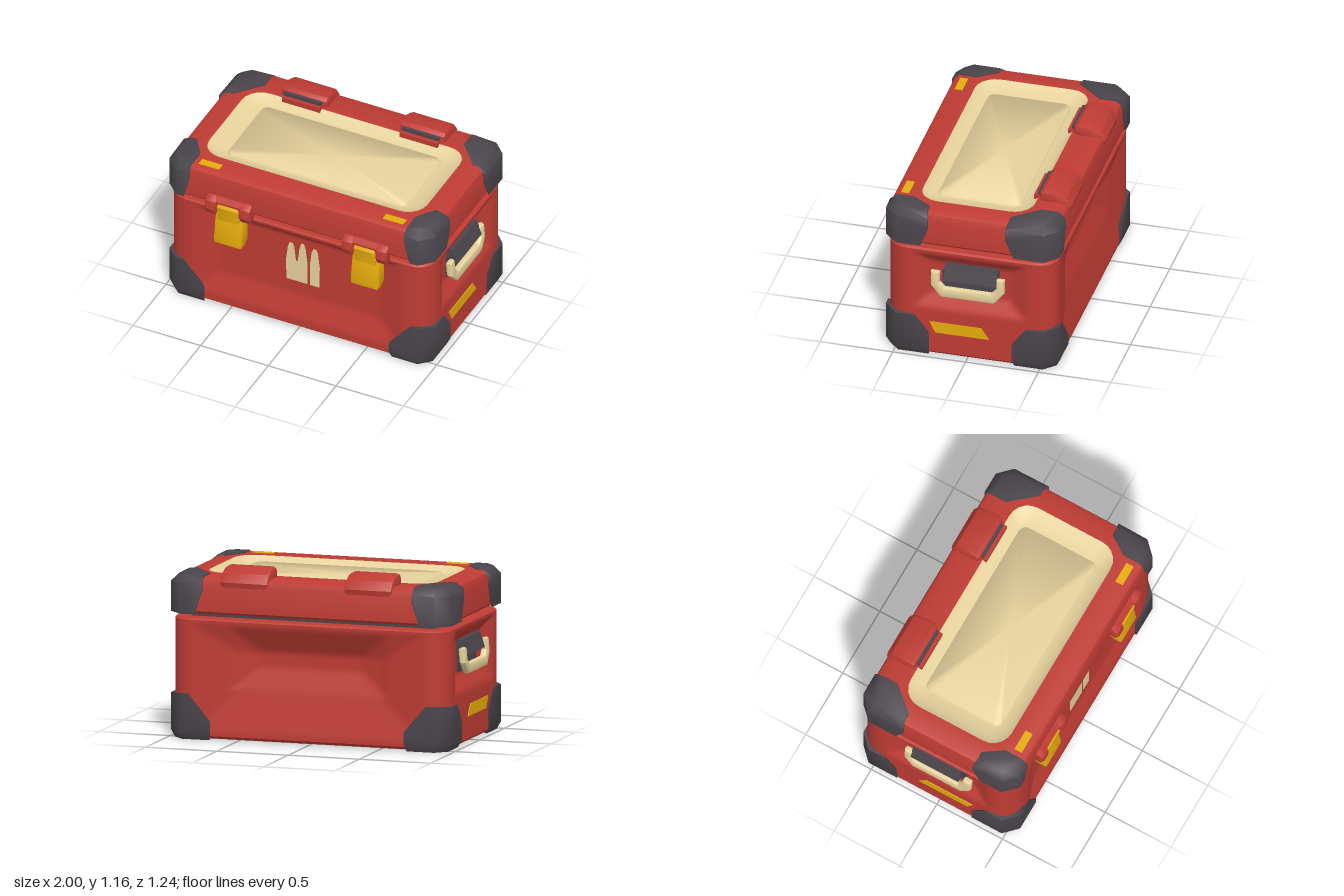
import * as THREE from 'three';
import { toCreasedNormals } from 'three/addons/utils/BufferGeometryUtils.js';
import { ConvexGeometry } from 'three/addons/geometries/ConvexGeometry.js';

const mat = (name, color) => {
  const m = new THREE.MeshStandardMaterial({ color });
  m.name = name;
  return m;
};

// Rounded-rectangle loop at height y, with subdivided straight sides
function ring(y, hx, hz, r, cz, nx = 1, nz = 1) {
  const pts = [], arc = 5;
  const signs = [[1, 1], [-1, 1], [-1, -1], [1, -1]];
  for (let c = 0; c < 4; c++) {
    const [sx, sz] = signs[c];
    for (let i = 0; i <= arc; i++) {
      const a = (c + i / arc) * Math.PI / 2;
      pts.push(new THREE.Vector3(sx * (hx - r) + r * Math.cos(a), y, cz + sz * (hz - r) + r * Math.sin(a)));
    }
    const n = c % 2 ? nz : nx;
    const next = signs[(c + 1) % 4], a = (c + 1) * Math.PI / 2, from = pts[pts.length - 1].clone();
    const to = new THREE.Vector3(next[0] * (hx - r) + r * Math.cos(a), y, cz + next[1] * (hz - r) + r * Math.sin(a));
    for (let i = 1; i < n; i++) pts.push(from.clone().lerp(to, i / n));
  }
  return pts;
}

// Skin between successive loops
function loft(rings, crease = 0.6) {
  const n = rings[0].length, pos = [], idx = [];
  rings.forEach(r => r.forEach(p => pos.push(p.x, p.y, p.z)));
  for (let k = 0; k < rings.length - 1; k++) {
    for (let i = 0; i < n; i++) {
      const a = k * n + i, b = k * n + (i + 1) % n;
      idx.push(a, a + n, b, a + n, b + n, b);
    }
  }
  const g = new THREE.BufferGeometry();
  g.setAttribute('position', new THREE.Float32BufferAttribute(pos, 3));
  g.setIndex(idx);
  return toCreasedNormals(g, crease);
}

// Side profile of [z, y] points extruded along x, centred on x = cx
function extrudeX(profile, width, cx, bevel = 0) {
  const shape = new THREE.Shape(profile.map(([z, y]) => new THREE.Vector2(-z, y)));
  const g = new THREE.ExtrudeGeometry(shape, {
    depth: width - 2 * bevel, bevelEnabled: bevel > 0, bevelSize: bevel,
    bevelThickness: bevel, bevelOffset: -bevel, bevelSegments: 2,
  });
  g.translate(0, 0, -width / 2 + bevel);
  g.rotateY(Math.PI / 2);
  g.translate(cx, 0, 0);
  return toCreasedNormals(g, 0.6);
}

// Copy mirrored in x, with corner order restored
function mirrorX(geo) {
  const g = geo.index ? geo.toNonIndexed() : geo.clone();
  for (const name of ['position', 'normal']) {
    const a = g.attributes[name];
    for (let i = 0; i < a.count; i += 3) {
      const v = [0, 2, 1].map(k => new THREE.Vector3().fromBufferAttribute(a, i + k));
      v.forEach((p, k) => a.setXYZ(i + k, -p.x, p.y, p.z));
    }
  }
  return g;
}

const box = (x0, x1, y0, y1, z0, z1) =>
  new THREE.BoxGeometry(x1 - x0, y1 - y0, z1 - z0).translate((x0 + x1) / 2, (y0 + y1) / 2, (z0 + z1) / 2);

// 0 outside the outer rectangle, rising to 1 inside the inner one
function dent(u, y, [ou, iu, y0, y1, y2, y3]) {
  const t = Math.min((ou - Math.abs(u)) / (ou - iu), (y - y0) / (y1 - y0), (y3 - y) / (y3 - y2));
  return Math.min(1, Math.max(0, t));
}

export function createModel() {
  const root = new THREE.Group();
  root.name = 'storageChest';
  const red = mat('red shell', 0xbf3c34);
  const dark = mat('dark rubber', 0x4b464c);
  const cream = mat('cream', 0xeed9a2);
  const yellow = mat('yellow', 0xe6ac0c);
  const add = (name, geo, m, parent = root) => {
    const mesh = new THREE.Mesh(geo, m);
    mesh.name = name;
    parent.add(mesh);
    return mesh;
  };
  const both = (name, geo, m) => {
    add(name + 'Left', geo, m);
    add(name + 'Right', mirrorX(geo), m);
  };

  // Body with sunken front, back and side walls; the back sinks in two steps
  const bz = -0.025, bodyRing = (y, hx, hz, r) => ring(y, hx, hz, r, bz, 50, 30);
  const bodyRings = [bodyRing(0.012, 0, 0, 0), bodyRing(0.012, 0.95, 0.56, 0.16)];
  for (let y = 0.03; y < 0.8; y += 0.02) {
    const loop = bodyRing(y, 0.968, 0.58, 0.14);
    for (const p of loop) {
      if (p.z > 0.55) p.z -= 0.045 * dent(p.x, y, [0.76, 0.6, 0.09, 0.26, 0.73, 0.79]);
      else if (p.z < -0.6) {
        p.z += 0.05 * dent(p.x, y, [0.82, 0.5, 0.06, 0.34, 0.6, 0.79])
          + 0.05 * dent(p.x, y, [0.56, 0.36, 0.34, 0.5, 0.6, 0.77]);
      } else if (Math.abs(p.x) > 0.96) {
        p.x -= Math.sign(p.x) * 0.06 * dent(p.z + 0.02, y, [0.39, 0.27, 0.36, 0.47, 0.7, 0.78]);
      }
    }
    bodyRings.push(loop);
  }
  bodyRings.push(bodyRing(0.805, 0.968, 0.58, 0.14), bodyRing(0.815, 0.955, 0.57, 0.13), bodyRing(0.815, 0, 0, 0));
  add('body', loft(bodyRings, 0.65), red);

  // Dark gasket between body and lid
  add('gasket', box(-0.85, 0.85, 0.8, 0.87, -0.49, 0.44), dark);

  // Lid shell with a cream dished frame and a softly domed centre panel
  const lz = -0.0225;
  add('lid', loft([
    ring(0.85, 0, 0, 0, lz), ring(0.85, 0.955, 0.575, 0.14, lz), ring(0.865, 0.968, 0.5875, 0.14, lz),
    ring(1.04, 0.968, 0.5875, 0.14, lz), ring(1.075, 0.955, 0.575, 0.14, lz), ring(1.095, 0.92, 0.545, 0.13, lz),
    ring(1.095, 0.805, 0.385, 0.14, -0.003),
  ]), red);
  add('lidFrame', loft([
    ring(1.095, 0.805, 0.385, 0.14, -0.003), ring(1.06, 0.745, 0.34, 0.1, -0.003), ring(1.05, 0.66, 0.28, 0.05, 0),
  ], 0.7), cream);
  add('lidPanel', loft([
    ring(1.045, 0.668, 0.29, 0.05, 0), ring(1.07, 0.655, 0.28, 0.045, 0), ring(1.07, 0, 0, 0, 0),
  ], 1.6), cream);

  // Rubber corner guards: [inset x, y, inset z] hull points
  const lowGuard = [
    [0.15, 0.31, 0], [0.09, 0.31, 0], [0, 0.3, 0.09], [0, 0.3, 0.225], [0.305, 0.13, 0], [0.305, 0.05, 0],
    [0.09, 0.05, 0], [0, 0.05, 0.09], [0, 0.18, 0.32], [0, 0.05, 0.32],
    [0.29, 0, 0.025], [0.1, 0, 0.025], [0.025, 0, 0.1], [0.025, 0, 0.31],
  ];
  const highGuard = [
    [0.15, 0.845, 0], [0.09, 0.845, 0], [0, 0.845, 0.09], [0, 0.845, 0.26], [0.19, 1.0, 0], [0.19, 1.06, 0], [0.09, 1.05, 0],
    [0, 1.05, 0.09], [0, 0.98, 0.31], [0, 1.06, 0.31], [0.19, 1.102, 0.05], [0.1, 1.102, 0.06],
    [0.05, 1.102, 0.11], [0.05, 1.102, 0.29], [0.1, 1.102, 0.3], [0.19, 1.102, 0.17],
  ];
  // The rear lid guards reach a little further along the edges
  for (const [level, pts, kx, kz] of [['lower', lowGuard, 1, 0.96], ['upper', highGuard, 1.3, 1.14]]) {
    for (const sx of [1, -1]) for (const end of ['Front', 'Back']) {
      const hull = pts.map(([x, y, z]) => end === 'Front'
        ? new THREE.Vector3(sx * (0.983 - x), y, 0.574 - z)
        : new THREE.Vector3(sx * (0.983 - x * (x > 0.12 ? kx : 1)), y, -0.62 + z * (z > 0.2 ? kz : 1)));
      add(level + end + 'Guard' + (sx > 0 ? 'Left' : 'Right'), toCreasedNormals(new ConvexGeometry(hull), 1), dark);
    }
  }

  // Side handles with dark mounts, and side stripes
  const handle = extrudeX([
    [0.245, 0.655], [0.245, 0.555], [0.175, 0.475], [-0.195, 0.475], [-0.26, 0.555], [-0.26, 0.655],
    [-0.205, 0.655], [-0.205, 0.58], [-0.17, 0.545], [0.15, 0.545], [0.185, 0.58], [0.185, 0.655],
  ], 0.05, 0.96, 0.018);
  const hp = handle.attributes.position;
  for (let i = 0; i < hp.count; i++) hp.setX(i, hp.getX(i) + (0.655 - hp.getY(i)) * 0.085);
  both('handle', handle, cream);
  both('handlePocket', box(0.9, 0.914, 0.48, 0.65, -0.2, 0.18), dark);
  const mount = box(0.9, 0.985, 0.6, 0.705, -0.21, 0.155);
  const mp = mount.attributes.position;
  for (let i = 0; i < mp.count; i++) if (mp.getX(i) > 0.95 && mp.getY(i) > 0.65) mp.setX(i, 0.95);
  mount.computeVertexNormals();
  both('handleMount', mount, dark);
  both('sideStripe', extrudeX([[0.255, 0.26], [0.215, 0.18], [-0.155, 0.18], [-0.1, 0.26]], 0.008, 0.969), yellow);

  // Front latches between red cheeks
  for (const cx of [-0.495, 0.515]) {
    const latch = new THREE.Group();
    latch.name = cx > 0 ? 'latchLeft' : 'latchRight';
    root.add(latch);
    const cheek = [[0.54, 0.93], [0.575, 0.93], [0.612, 0.9], [0.622, 0.84], [0.6, 0.795], [0.54, 0.795]];
    for (const s of [-1, 1]) add('cheek', extrudeX(cheek, 0.085, cx + s * 0.125, 0.018), red, latch);
    add('latchHood', extrudeX([[0.54, 0.93], [0.575, 0.93], [0.603, 0.9], [0.595, 0.86], [0.54, 0.86]], 0.2, cx), red, latch);
    add('latchArm', extrudeX([[0.55, 0.885], [0.6, 0.885], [0.612, 0.865], [0.6, 0.76], [0.55, 0.76]], 0.155, cx, 0.008), yellow, latch);
    add('latchPin', new THREE.CylinderGeometry(0.018, 0.018, 0.165, 16).rotateZ(Math.PI / 2).translate(cx, 0.8, 0.583), yellow, latch);
    add('latchPlate', extrudeX([
      [0.5, 0.78], [0.58, 0.78], [0.588, 0.74], [0.609, 0.6], [0.604, 0.565], [0.555, 0.56], [0.5, 0.59],
    ], 0.205, cx, 0.012), yellow, latch);
  }

  // Hinge covers on the rear of the lid
  for (const cx of [-0.425, 0.445]) {
    const hinge = new THREE.Group();
    hinge.name = cx > 0 ? 'hingeLeft' : 'hingeRight';
    root.add(hinge);
    add('hingeCover', extrudeX([
      [-0.405, 1.085], [-0.405, 1.145], [-0.43, 1.165], [-0.51, 1.162], [-0.585, 1.13], [-0.62, 1.07], [-0.612, 1.035], [-0.57, 1.035],
    ], 0.34, cx, 0.025), red, hinge);
    add('hingeInsert', box(cx - 0.135, cx + 0.135, 1.09, 1.142, -0.45, -0.385), dark, hinge);
    add('hingeLip', box(cx - 0.14, cx + 0.14, 1.08, 1.117, -0.42, -0.36), red, hinge);
  }

  // Yellow marks on the lid's front rim
  both('lidMark', box(0.605, 0.755, 1.091, 1.099, 0.453, 0.508), yellow);

  // Three painted cartridges on the front
  [[-0.07, 0.67], [0.015, 0.685], [0.105, 0.67]].forEach(([x, top], i) => {
    const half = [[0.034, 0.365], [0.036, 0.53], [0.027, 0.6], [0.023, 0.64], [0.01, top]];
    const outline = [...half.map(([u, y]) => [x + u, y]), ...half.reverse().map(([u, y]) => [x - u, y])];
    const shape = new THREE.Shape(outline.map(p => new THREE.Vector2(...p)));
    const g = new THREE.ExtrudeGeometry(shape, { depth: 0.007, bevelEnabled: false }).translate(0, 0, 0.507);
    add('cartridgeMark' + (i + 1), g, cream);
  });
  add('cartridgeJoin', box(-0.04, -0.015, 0.365, 0.53, 0.507, 0.513), cream);

  return root;
}
